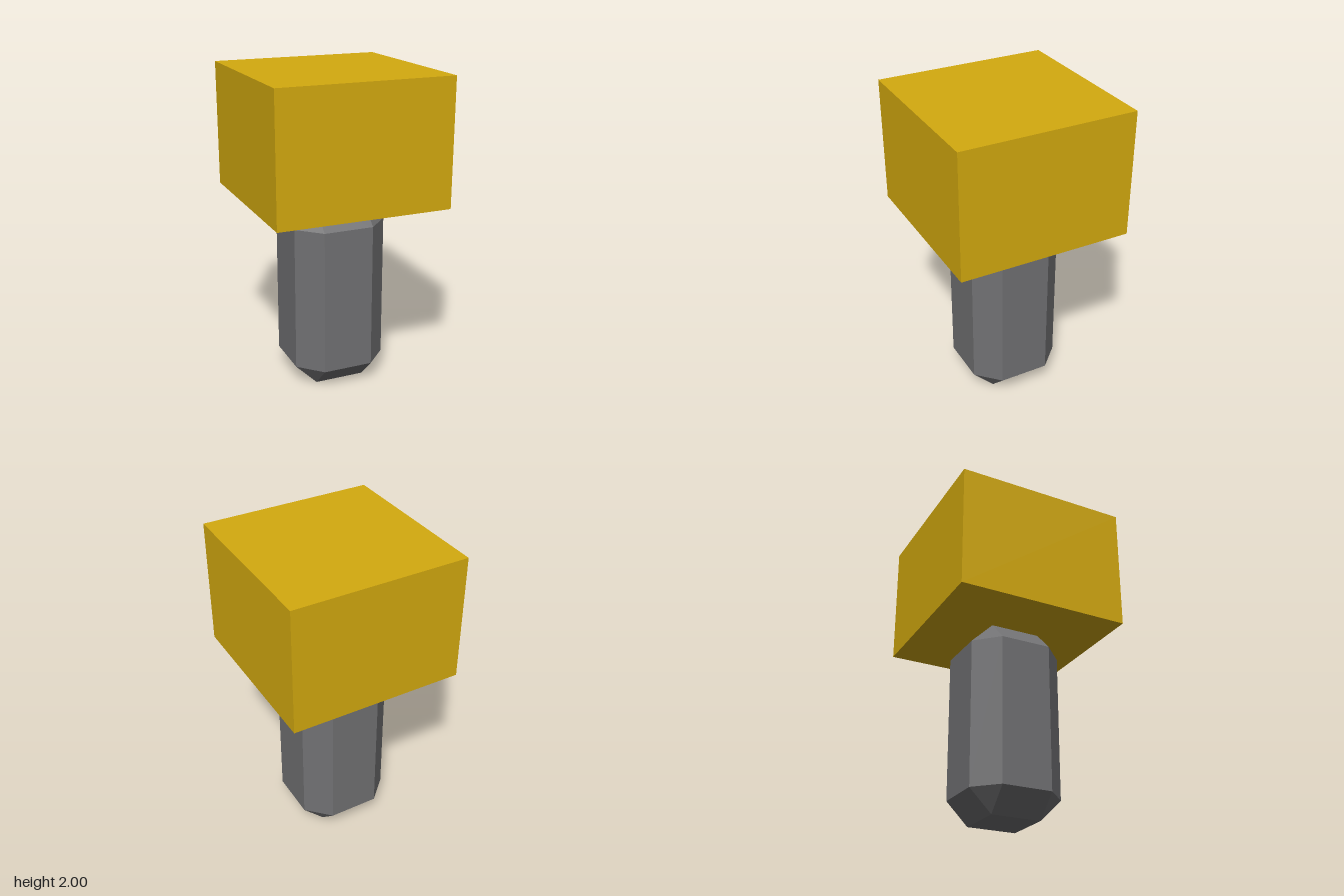
import * as THREE from 'three';
import { ConvexGeometry } from 'three/addons/geometries/ConvexGeometry.js';

// Box with every edge cut at 45 degrees, centred on the origin
function chamferedBox(width, height, depth, cut) {
  const half = [width / 2, height / 2, depth / 2];
  const points = [];
  for (const sx of [-1, 1]) for (const sy of [-1, 1]) for (const sz of [-1, 1]) {
    const signs = [sx, sy, sz];
    // each corner becomes three points, one on each neighbouring face
    for (let face = 0; face < 3; face++) {
      points.push(new THREE.Vector3(
        ...signs.map((s, axis) => s * (half[axis] - (axis === face ? 0 : cut)))
      ));
    }
  }
  return new ConvexGeometry(points);
}

export function createModel() {
  const yellow = new THREE.MeshStandardMaterial({ name: 'golden yellow', color: 0xd4aa0f });
  const grey = new THREE.MeshStandardMaterial({ name: 'dark grey', color: 0x717173 });
  grey.flatShading = true;

  const model = new THREE.Group();
  model.name = 'blockOnPost';

  // Chamfered post
  const post = new THREE.Mesh(chamferedBox(0.6, 1.205, 0.6, 0.14), grey);
  post.name = 'post';
  post.position.y = 0.6025;

  // Square block on top
  const block = new THREE.Mesh(new THREE.BoxGeometry(1.1, 0.795, 1.1), yellow);
  block.name = 'block';
  block.position.y = 1.6025;

  model.add(post, block);
  return model;
}
